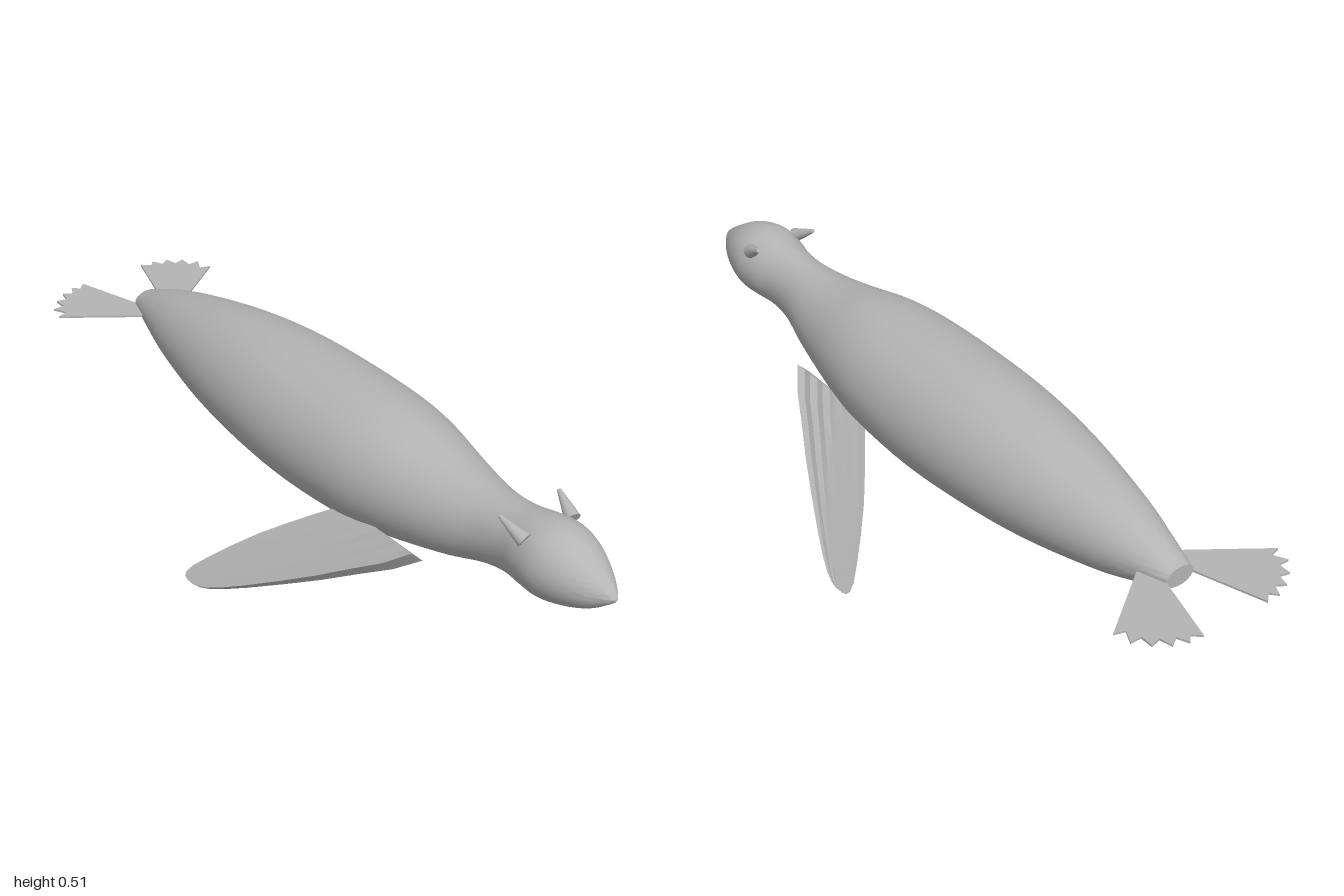
import * as THREE from 'three';
import { toCreasedNormals } from 'three/addons/utils/BufferGeometryUtils.js';

// Closed skin over a list of rings, with a cap on each end
function loft(rings, crease) {
  const n = rings[0].length, index = [];
  const points = rings.flat();
  const centre = ring => ring.reduce((s, p) => s.add(p), new THREE.Vector3()).divideScalar(n);
  points.push(centre(rings[0]), centre(rings[rings.length - 1]));
  const last = (rings.length - 1) * n, c0 = rings.length * n;
  for (let j = 0; j < n; j++) {
    const k = (j + 1) % n;
    for (let i = 0; i < last; i += n) {
      index.push(i + j, i + k, i + n + j, i + k, i + n + k, i + n + j);
    }
    index.push(c0, k, j, c0 + 1, last + j, last + k);
  }
  const geo = new THREE.BufferGeometry().setFromPoints(points);
  geo.setIndex(index);
  return toCreasedNormals(geo, crease);
}

// Body and head: x, top y, bottom y, half width
function bodyGeometry() {
  const stations = [
    [-0.82, 0.367, 0.315, 0.04], [-0.72, 0.407, 0.272, 0.071], [-0.6, 0.443, 0.237, 0.105],
    [-0.4, 0.485, 0.2, 0.147], [-0.2, 0.509, 0.18, 0.172], [0, 0.516, 0.172, 0.181],
    [0.2, 0.515, 0.183, 0.174], [0.32, 0.505, 0.2, 0.155], [0.42, 0.485, 0.222, 0.132],
    [0.52, 0.469, 0.248, 0.107], [0.62, 0.465, 0.281, 0.081], [0.7, 0.471, 0.297, 0.077],
    [0.76, 0.482, 0.299, 0.088], [0.82, 0.487, 0.299, 0.093], [0.88, 0.472, 0.313, 0.079],
    [0.94, 0.438, 0.338, 0.051], [0.985, 0.407, 0.371, 0.019], [1, 0.392, 0.385, 0.004],
  ];
  const curve = f => new THREE.CatmullRomCurve3(stations.map(f), false, 'catmullrom', 0.5);
  const heights = curve(s => new THREE.Vector3(s[0], s[1], s[2]));
  const widths = curve(s => new THREE.Vector3(s[0], s[3], 0));
  const rings = [], steps = 68, sides = 48;
  for (let i = 0; i <= steps; i++) {
    const h = heights.getPoint(i / steps), w = widths.getPoint(i / steps).y;
    const ring = [];
    for (let j = 0; j < sides; j++) {
      const a = (j / sides) * Math.PI * 2;
      ring.push(new THREE.Vector3(h.x, (h.y + h.z) / 2 + Math.cos(a) * (h.y - h.z) / 2, Math.sin(a) * w));
    }
    rings.push(ring);
  }
  return loft(rings, 0.7);
}

// Ridged paddle: distance down the flipper, trailing x, leading x
function foreFlipperGeometry(side) {
  const stations = [
    [0, 0.215, 0.48], [0.15, 0.155, 0.425], [0.3, 0.1, 0.352], [0.47, 0.04, 0.272],
    [0.64, -0.011, 0.185], [0.8, -0.055, 0.1], [0.9, -0.08, 0.043], [0.96, -0.088, 0.003],
    [0.99, -0.083, -0.025], [1, -0.07, -0.045],
  ];
  const folds = 10;
  const rings = stations.map(([t, trail, lead]) => {
    const half = 0.004 + 0.02 * (1 - t), ring = [];
    const add = (u, face) => {
      const ridge = Math.round(u * folds) % 2 ? 0.75 : 1;
      const d = face * half * (0.3 + 0.7 * u) * ridge * Math.SQRT1_2;
      ring.push(new THREE.Vector3(trail + (lead - trail) * u, 0.262 - 0.257 * t + d, side * (0.118 + 0.272 * t + d)));
    };
    for (let j = folds; j >= 0; j--) add(j / folds, 1);
    for (let j = 0; j <= folds; j++) add(j / folds, -1);
    return side > 0 ? ring : ring.reverse();
  });
  return loft(rings, 0.35);
}

// Thin fan with a toothed end
function hindFlipperGeometry(side) {
  const outline = [
    [-0.75, 0.065], [-0.878, 0.243], [-0.887, 0.215], [-0.922, 0.233], [-0.922, 0.203],
    [-0.957, 0.203], [-0.95, 0.176], [-0.983, 0.168], [-0.968, 0.145], [-0.998, 0.131],
    [-0.98, 0.115], [-1, 0.094], [-0.82, 0.038], [-0.77, 0.03],
  ];
  const shape = new THREE.Shape(outline.map(([x, z]) => new THREE.Vector2(x, z * side)));
  const geo = new THREE.ExtrudeGeometry(shape, { depth: 0.005, bevelEnabled: false });
  return geo.rotateX(Math.PI / 2).translate(0, 0.3405, 0);
}

// Small blunt cone pointing back and up
function earGeometry(side) {
  const base = new THREE.Vector3(0.782, 0.453, side * 0.07);
  const tip = new THREE.Vector3(0.717, 0.489, side * 0.086);
  const axis = tip.clone().sub(base);
  const geo = new THREE.CylinderGeometry(0.005, 0.019, axis.length(), 16);
  geo.applyQuaternion(new THREE.Quaternion().setFromUnitVectors(new THREE.Vector3(0, 1, 0), axis.normalize()));
  const mid = base.add(tip).multiplyScalar(0.5);
  return geo.translate(mid.x, mid.y, mid.z);
}

export function createModel() {
  const group = new THREE.Group();
  const skin = new THREE.MeshStandardMaterial({ color: 0xb4b4b4 });
  skin.name = 'grey skin';
  const add = (name, geometry) => {
    const mesh = new THREE.Mesh(geometry, skin);
    mesh.name = name;
    group.add(mesh);
  };
  add('body', bodyGeometry());
  // The animal swims toward +x, so paired parts mirror across z
  for (const [side, label] of [[1, 'Front'], [-1, 'Back']]) {
    add('foreFlipper' + label, foreFlipperGeometry(side));
    add('hindFlipper' + label, hindFlipperGeometry(side));
    add('ear' + label, earGeometry(side));
  }
  return group;
}
